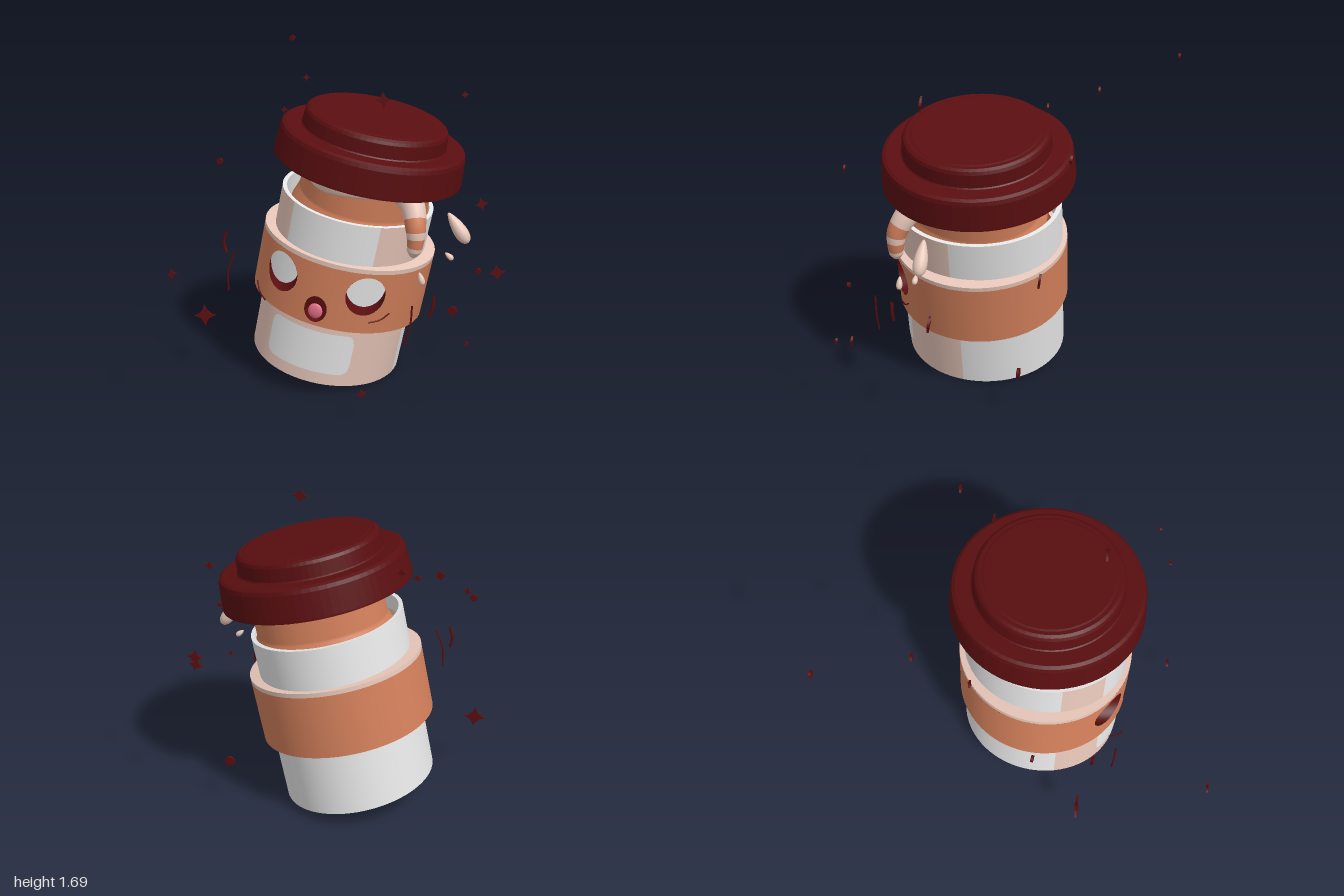
import * as THREE from 'three';
import { ParametricGeometry } from 'three/addons/geometries/ParametricGeometry.js';

const mat = (name, color) => {
  const m = new THREE.MeshStandardMaterial({ color });
  m.name = name;
  m.side = THREE.DoubleSide;
  return m;
};
const V = (x, y, z) => new THREE.Vector3(x, y, z);
const TAU = Math.PI * 2, DEG = Math.PI / 180;

export function createModel() {
  const white = mat('white', 0xf2f2f2), cream = mat('cream', 0xf2d0c2), brown = mat('brown', 0xd3805b);
  const maroon = mat('maroon', 0x5a0e10), pink = mat('pink', 0xe6708a);
  const model = new THREE.Group();
  model.name = 'spillingCup';

  const add = (parent, name, geo, material) => {
    const m = new THREE.Mesh(geo, material);
    m.name = name;
    parent.add(m);
    return m;
  };
  const surf = (fn, nu, nv) => new ParametricGeometry((u, v, t) => t.copy(fn(u, v)), nu, nv);
  // point on an upright cylinder, angle 0 facing the front
  const cyl = (a, y, r) => V(Math.sin(a) * r, y, Math.cos(a) * r);
  const wall = (a0, a1, y0, y1, r) =>
    surf((u, v) => cyl(a0 + (a1 - a0) * u, y0 + (y1 - y0) * v, r), Math.ceil((a1 - a0) * 12), 1);
  const lathe = pts => new THREE.LatheGeometry(pts.map(p => new THREE.Vector2(...p)), 72);

  // everything that leans shares this tilted group
  const tilted = new THREE.Group();
  tilted.name = 'tiltedCup';
  tilted.position.set(-0.19, 0.092, -0.042);
  tilted.rotation.z = -0.207;
  model.add(tilted);

  // cup body, slightly oval
  const cup = new THREE.Group();
  cup.name = 'cup';
  cup.scale.x = 0.92;
  tilted.add(cup);
  const R = 0.45;
  const bands = (name, y0, y1, list) => list.forEach(([a0, a1, m]) =>
    add(cup, name, wall(a0 * DEG, a1 * DEG, y0, y1, R), m));
  bands('lowerWall', 0, 0.36, [[-67, 86, cream], [86, 293, white]]);
  bands('upperWall', 0.7, 0.95, [[-67, -34, cream], [-34, 37, white], [37, 82, cream], [82, 293, white]]);
  // rounded light patch on the lower front
  add(cup, 'frontPatch', surf((u, v) => {
    const e = Math.max(0, (Math.abs(u - 0.5) - 0.4) / 0.1);
    const cut = 0.055 * (1 - Math.sqrt(Math.max(0, 1 - e * e)));
    return cyl((-32 + 68 * u) * DEG, 0.07 + cut + (0.24 - 2 * cut) * v, R + 0.004);
  }, 60, 2), white);
  add(cup, 'rim', lathe([[0.45, 0.95], [0.425, 0.95]]), white);
  add(cup, 'innerWall', lathe([[0.425, 0.95], [0.42, 0.86]]), white);
  const base = add(cup, 'base', new THREE.CircleGeometry(0.445, 64), maroon);
  base.rotation.x = Math.PI / 2;
  base.position.y = 0.008;

  // sleeve with face openings
  const S = 0.475, Y0 = 0.352, Y1 = 0.7;
  const sleeve = new THREE.Group();
  sleeve.name = 'sleeve';
  tilted.add(sleeve);
  add(sleeve, 'sleeveBack', wall(0.9, TAU - 0.78, Y0, Y1, S), brown);
  add(sleeve, 'sleeveTopEdge', lathe([[S, Y1], [S, 0.724]]), cream);
  add(sleeve, 'sleeveTopLip', lathe([[S, 0.724], [0.41, 0.73]]), cream);
  add(sleeve, 'sleeveBottomLip', lathe([[0.41, 0.35], [S, Y0]]), cream);

  const opening = (name, a0, a1, ca, cy, ra, ry, floorMat, shift) => {
    const edge = u => { // walk around the panel border
      const s = Math.min(3, Math.floor(u * 4)), f = u * 4 - s;
      const c = [[a0, Y0], [a1, Y0], [a1, Y1], [a0, Y1], [a0, Y0]];
      return [c[s][0] + (c[s + 1][0] - c[s][0]) * f, c[s][1] + (c[s + 1][1] - c[s][1]) * f];
    };
    const oval = (t, k = 1) => cyl(ca + Math.cos(t) * ra * k, cy + Math.sin(t) * ry * k, S);
    add(sleeve, name + 'Panel', surf((u, v) => {
      const [ea, ey] = edge(u), t = Math.atan2((ey - cy) / ry, (ea - ca) / ra);
      const ia = ca + Math.cos(t) * ra, iy = cy + Math.sin(t) * ry;
      return cyl(ea + (ia - ea) * v, ey + (iy - ey) * v, S);
    }, 64, 6), brown);
    add(sleeve, name + 'Rim', surf((u, v) => oval(u * TAU).addScaledVector(shift, v), 48, 1), maroon);
    add(sleeve, name + 'Floor', surf((u, v) => oval(u * TAU, Math.max(1 - v, 0.001)).add(shift), 48, 4), floorMat);
    return oval;
  };
  const depth = V(-0.025, 0.01, -0.08);
  opening('rightEye', -0.78, -0.16, -0.47, 0.568, 0.238, 0.108, white, depth);
  opening('leftEye', 0.26, 0.9, 0.577, 0.568, 0.23, 0.11, white, depth);
  opening('mouth', -0.16, 0.26, 0.05, 0.445, 0.13, 0.074, maroon, V(0, 0, -0.05));
  const tongue = add(sleeve, 'tongue', new THREE.SphereGeometry(1, 24, 16), pink);
  tongue.scale.set(0.04, 0.043, 0.015);
  tongue.position.set(0.017, 0.419, 0.443);

  // lid: hollow two-tier cap with rounded edges
  const lid = add(tilted, 'lid', lathe([
    [0, 1.26], [0.47, 1.26], [0.485, 1.13], [0.515, 1.13], [0.515, 1.14], [0.504, 1.275],
    [0.497, 1.295], [0.48, 1.304], [0.4, 1.304], [0.394, 1.31], [0.388, 1.38], [0.38, 1.396],
    [0.365, 1.405], [0.345, 1.405], [0.335, 1.408], [0, 1.41]
  ]), maroon);
  lid.geometry = flatten(lid.geometry);
  lid.position.set(0.012, 0, -0.012);

  // drink rising out of the cup, with wavy foam on top
  const bulge = (a, y) => {
    const side = 0.355 + 0.025 * Math.sin(a) + 0.012 * Math.sin(3 * a + 1) + 0.03 * Math.max(0, (0.95 - y) / 0.08);
    return y < 1.08 ? side : side * Math.sqrt(Math.max(0, 1 - ((y - 1.08) / 0.13) ** 2));
  };
  const foamEdge = a => 1.075 - 0.03 * Math.cos(a - 0.3) + 0.025 * Math.sin(3 * a) + 0.05 * Math.max(0, -Math.cos(a));
  add(tilted, 'drink', surf((u, v) => {
    const y = 0.87 + 0.33 * v;
    return cyl(u * TAU, y, bulge(u * TAU, y));
  }, 64, 24), brown);
  add(tilted, 'foam', surf((u, v) => {
    const a = u * TAU, e = foamEdge(a), y = e + (1.209 - e) * Math.sin(v * Math.PI / 2);
    return cyl(a, y + 0.004, bulge(a, y) + 0.014 * Math.sqrt(Math.min(1, v * 6)));
  }, 72, 24), cream);

  // banded drip hanging over the rim
  const path = new THREE.CatmullRomCurve3([
    V(0.27, 1.12, 0.2), V(0.36, 1.09, 0.27), V(0.415, 1.0, 0.325), V(0.435, 0.92, 0.335), V(0.437, 0.835, 0.335)]);
  const dripRadius = s => (0.075 - 0.042 * s) * Math.sqrt(Math.max(0, Math.min(1, (1 - s) * 9)));
  [[0, 0.42, cream], [0.42, 0.58, brown], [0.58, 0.68, cream], [0.68, 0.82, brown], [0.82, 1, cream]]
    .forEach(([s0, s1, m]) => add(tilted, 'drip', surf((u, v) => {
      const s = s0 + (s1 - s0) * v, p = path.getPoint(s), d = path.getTangent(s);
      const n = V(0, 0, 1).cross(d).normalize(), b = d.clone().cross(n);
      const r = dripRadius(s), t = u * TAU;
      return p.addScaledVector(n, Math.cos(t) * r).addScaledVector(b, Math.sin(t) * r);
    }, 20, 10), m));

  // flying drops: [x, y, z, half length, half width, turn]
  [[0.6, 0.94, 0.1, 0.095, 0.042, 0.62], [0.567, 0.795, 0.145, 0.028, 0.017, 0.9], [0.452, 0.7, 0.27, 0.036, 0.019, 0.3]]
    .forEach(([x, y, z, h, w, turn]) => {
      const pts = [];
      for (let i = 0; i <= 16; i++) {
        const t = Math.PI * i / 16;
        pts.push([Math.sin(t) * (0.72 + 0.28 * Math.cos(t)) * w * 1.15, -Math.cos(t) * h]);
      }
      const d = add(model, 'splashDrop', lathe(pts), cream);
      d.position.set(x, y, z);
      d.rotation.z = turn;
    });

  // four-pointed sparkles: [x, y, z, size, turn]
  [[-0.775, 0.345, 0.32, 0.062, 0.1], [0.22, 1.615, 0.21, 0.043, 0.1], [0.445, 1.485, -0.615, 0.024, 0.1],
    [-0.505, 1.525, -0.59, 0.023, 0], [-0.53, 1.395, -0.3, 0.021, 0], [0.795, 0.68, 0.005, 0.045, 0.2],
    [0.76, 0.485, 0.515, 0.016, 0.4], [0.25, 0.18, 0.635, 0.027, 0.2], [0.587, 0.885, -0.505, 0.038, 0.3],
    [-0.613, 0.852, 0.975, 0.026, 0.2]]
    .forEach(([x, y, z, size, turn]) => {
      const shape = new THREE.Shape();
      shape.moveTo(size, 0);
      for (let i = 0; i < 4; i++) {
        const a = (i + 0.5) * Math.PI / 2, b = (i + 1) * Math.PI / 2;
        shape.quadraticCurveTo(Math.cos(a) * size * 0.25, Math.sin(a) * size * 0.25, Math.cos(b) * size, Math.sin(b) * size);
      }
      const g = new THREE.ExtrudeGeometry(shape, { depth: 0.012, bevelEnabled: false, curveSegments: 5 });
      const s = add(model, 'sparkle', g.translate(0, 0, -0.006), maroon);
      s.position.set(x, y, z);
      s.rotation.set(-0.12, 0.15, turn);
    });

  // small round confetti
  [[-0.75, 1.68, -0.99, 0.017], [-0.765, 1.17, 0.075, 0.018], [0.465, 0.26, -0.38, 0.027], [0.785, 0.84, 0.42, 0.013]]
    .forEach(([x, y, z, r]) => {
      const d = add(model, 'dot', new THREE.CylinderGeometry(r, r, 0.014, 20), maroon);
      d.rotation.x = Math.PI / 2;
      d.position.set(x, y, z);
    });

  // shake lines and cheek lines
  const stroke = (name, r, ...pts) => add(model, name,
    new THREE.TubeGeometry(new THREE.CatmullRomCurve3(pts.map(p => V(...p))), 16, r, 8), maroon);
  stroke('shakeLine', 0.005, [-0.513, 0.8, 0.465], [-0.553, 0.69, 0.465], [-0.558, 0.578, 0.46]);
  stroke('shakeLine', 0.008, [-0.605, 0.87, 0.36], [-0.622, 0.81, 0.36], [-0.612, 0.75, 0.355]);
  stroke('shakeLine', 0.005, [0.446, 0.6, 0.41], [0.437, 0.49, 0.41], [0.402, 0.375, 0.41]);
  stroke('shakeLine', 0.009, [0.527, 0.62, 0.29], [0.524, 0.56, 0.29], [0.508, 0.505, 0.29]);
  stroke('cheekLine', 0.004, [-0.41, 0.635, 0.41], [-0.38, 0.587, 0.45], [-0.34, 0.556, 0.475]);
  stroke('cheekLine', 0.004, [0.19, 0.447, 0.35], [0.245, 0.456, 0.31], [0.285, 0.487, 0.28]);
  return model;
}

// sharp facet normals for the turned lid steps
function flatten(geo) {
  const g = geo.toNonIndexed();
  g.computeVertexNormals();
  return g;
}
